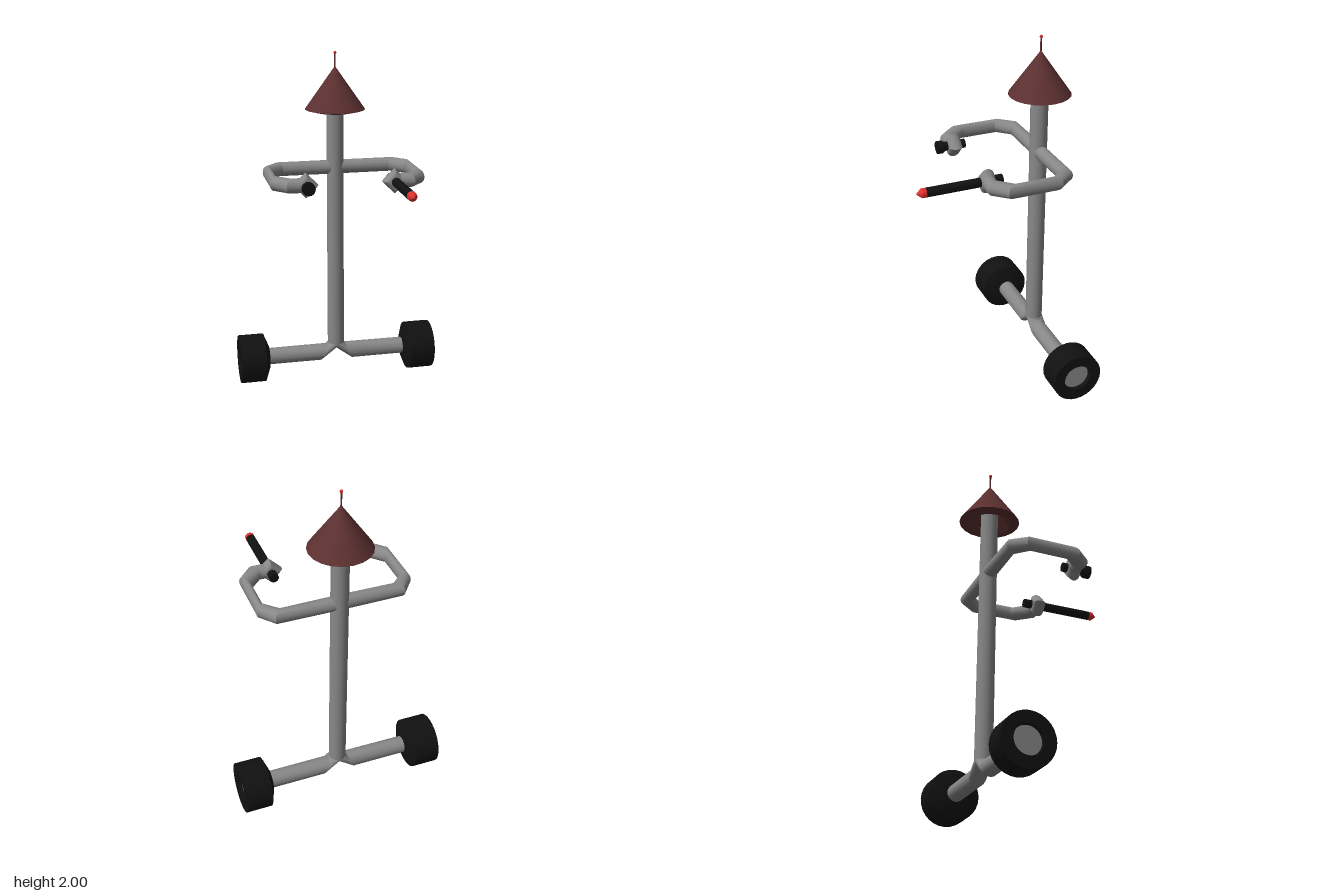
import * as THREE from 'three';
import { toCreasedNormals } from 'three/addons/utils/BufferGeometryUtils.js';

const makeMaterial = (name, color, side = THREE.FrontSide) => {
  const m = new THREE.MeshStandardMaterial({ color, side });
  m.name = name;
  return m;
};

// Round tube through rings; each ring is given by two opposite edge points a, b in a plane.
function loft(rings, place, normal, radius, sides = 14) {
  const pos = [], index = [];
  rings.forEach(([au, av, bu, bv], i) => {
    const a = place(au, av), b = place(bu, bv);
    const centre = a.clone().add(b).multiplyScalar(0.5);
    const side = a.clone().sub(b).multiplyScalar(0.5);
    for (let j = 0; j < sides; j++) {
      const t = (j / sides) * Math.PI * 2;
      const p = centre.clone().addScaledVector(side, Math.cos(t)).addScaledVector(normal, radius * Math.sin(t));
      pos.push(p.x, p.y, p.z);
      if (i === rings.length - 1) continue;
      const k = (j + 1) % sides, r0 = i * sides, r1 = r0 + sides;
      index.push(r0 + j, r0 + k, r1 + k, r0 + j, r1 + k, r1 + j);
    }
  });
  const g = new THREE.BufferGeometry();
  g.setAttribute('position', new THREE.Float32BufferAttribute(pos, 3));
  g.setIndex(index);
  return toCreasedNormals(g, 0.6);
}

// Turned part from [radius, height] points, running up the outside.
const turned = (points, sides) =>
  toCreasedNormals(new THREE.LatheGeometry(points.map(([r, y]) => new THREE.Vector2(r, y)), sides), 0.5);

export function createModel() {
  const grey = makeMaterial('grey body', 0x888888);
  const black = makeMaterial('black rubber', 0x111111);
  const maroon = makeMaterial('maroon hat', 0x5c3030, THREE.DoubleSide);
  const red = makeMaterial('red tip', 0xe03030);

  const model = new THREE.Group();
  const Z = -0.32, ARM_Y = 1.325;
  const add = (name, geometry, material, x = 0, y = 0, z = 0) => {
    const mesh = new THREE.Mesh(geometry, material);
    mesh.name = name;
    mesh.position.set(x, y, z);
    model.add(mesh);
    return mesh;
  };

  // Trunk
  add('trunk', new THREE.CylinderGeometry(0.05, 0.05, 1.53, 24, 1, true), grey, 0, 0.975, Z);

  // Hollow cone hat with an in-turned lip, antenna and bead
  add('hat', turned([[0.05, 1.76], [0.12, 1.653], [0.175, 1.667], [0, 1.915]], 20), maroon, 0, 0, Z);
  add('antenna', new THREE.CylinderGeometry(0.005, 0.005, 0.09, 8), maroon, 0, 1.945, Z);
  add('antennaBead', new THREE.SphereGeometry(0.009, 10, 8), red, 0, 1.991, Z);

  // Edge points for one side: legs as x, y and arms as x, z
  const legRings = [
    [0.05, 0.212, -0.05, 0.212], [0.055, 0.202, 0.1, 0.1], [0.45, 0.2, 0.45, 0.1],
  ];
  const armRings = [
    [0, -0.36, 0, -0.28], [0.365, -0.355, 0.315, -0.285], [0.438, -0.262, 0.388, -0.218],
    [0.438, 0.05, 0.388, -0.022], [0.36, 0.136, 0.31, 0.056], [0.28, 0.136, 0.28, 0.056],
  ];
  const up = new THREE.Vector3(0, 1, 0), forward = new THREE.Vector3(0, 0, 1);

  for (const s of [1, -1]) {
    const label = s > 0 ? 'left' : 'right';
    const mirror = (rings) => (s > 0 ? rings : rings.map(([a, b, c, d]) => [-c, d, -a, b]));

    add(label + 'Leg', loft(mirror(legRings), (x, y) => new THREE.Vector3(x, y, Z), forward, 0.05), grey);
    add(label + 'Arm', loft(mirror(armRings), (x, z) => new THREE.Vector3(x, ARM_Y, z), up, 0.041), grey);

    // Diamond-shaped gripping hand
    add(label + 'Hand', toCreasedNormals(new THREE.TorusGeometry(0.031, 0.04, 14, 4), 0.6), grey, s * 0.25, ARM_Y, 0.096);

    // Wheel with sloped inner face and recessed hub
    const tyre = turned([[0.03, 0.42], [0.07, 0.42], [0.146, 0.45], [0.146, 0.6], [0.08, 0.6], [0.078, 0.575]], 28);
    const hub = turned([[0.079, 0.575], [0, 0.575]], 28);
    add(label + 'Wheel', tyre.rotateZ(-s * Math.PI / 2), black, 0, 0.147, Z);
    add(label + 'Hub', hub.rotateZ(-s * Math.PI / 2), grey, 0, 0.147, Z);
  }

  // Torch held in the right hand
  const torch = turned([[0, 0.03], [0.026, 0.03], [0.026, 0.15], [0.037, 0.167], [0.037, 0.197], [0, 0.197]], 16);
  add('torch', torch.rotateX(Math.PI / 2), black, -0.25, ARM_Y);

  // Wand with a pointed tip held in the left hand
  const wand = turned([[0, 0.01], [0.026, 0.01], [0.026, 0.44]], 16);
  add('wand', wand.rotateX(Math.PI / 2), black, 0.25, ARM_Y);
  const tip = turned([[0.026, 0.44], [0.026, 0.463], [0, 0.494]], 16);
  add('wandTip', tip.rotateX(Math.PI / 2), red, 0.25, ARM_Y);

  return model;
}
